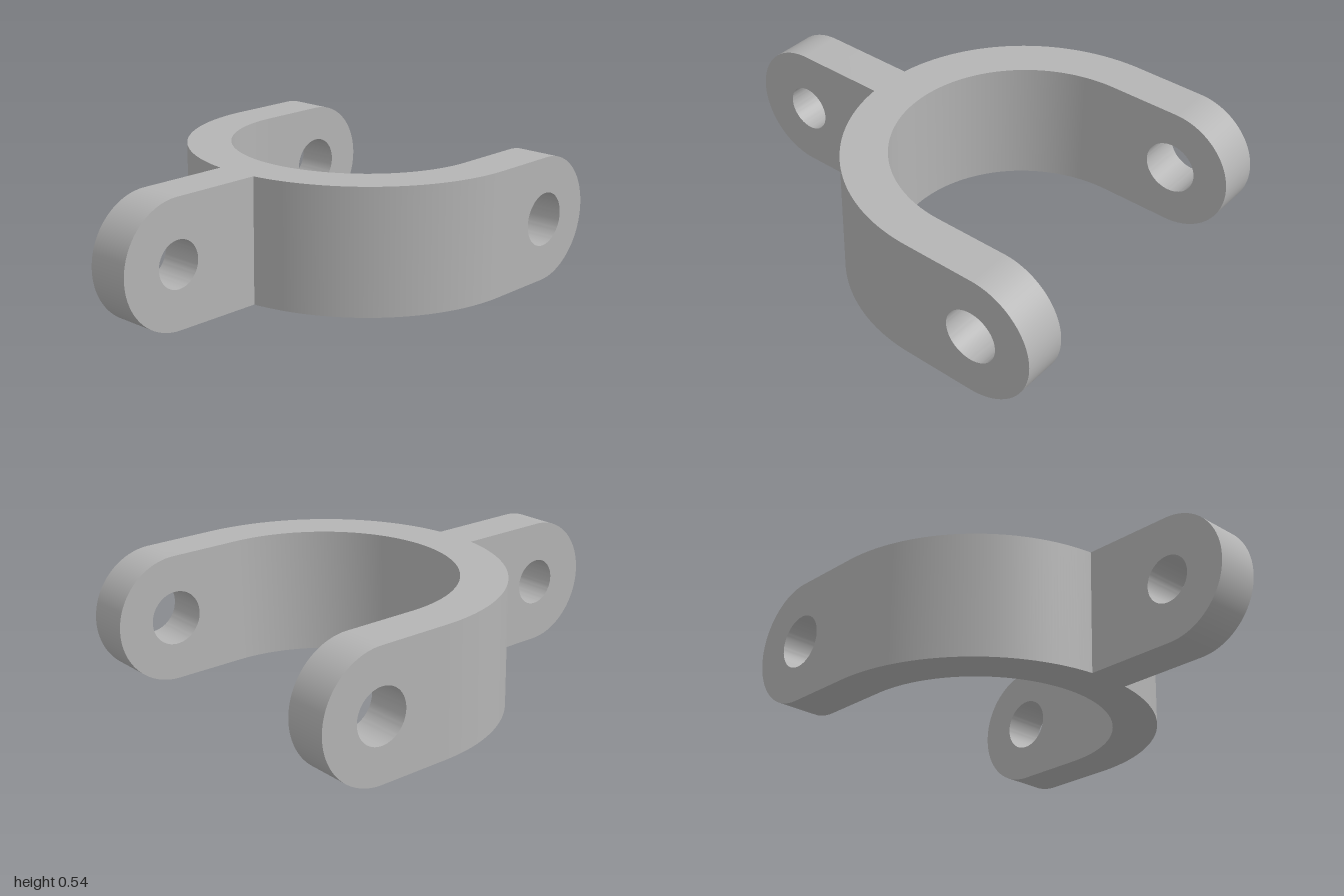
import * as THREE from 'three';
import { toCreasedNormals } from 'three/addons/utils/BufferGeometryUtils.js';

const H = 0.54;            // height of the whole bracket
const R = 0.755;           // outer radius of the yoke
const r = 0.565;           // inner radius of the yoke
const T = R - r;           // wall thickness
const CZ = -0.42;          // z of the yoke's centre

function extrude(shape, depth) {
  return new THREE.ExtrudeGeometry(shape, { depth, bevelEnabled: false, curveSegments: 40 });
}

// Flat lug with a rounded, drilled end; runs along +z (dir 1) or -z (dir -1)
function lugGeometry(start, end, holeAt, holeRadius, dir) {
  const h = H / 2;
  const shape = new THREE.Shape();
  shape.moveTo(start, 0);
  shape.lineTo(end - h, 0);
  shape.absarc(end - h, h, h, -Math.PI / 2, Math.PI / 2, false);
  shape.lineTo(start, H);
  shape.closePath();
  const hole = new THREE.Path();
  hole.absarc(holeAt, h, holeRadius, 0, Math.PI * 2, true);
  shape.holes.push(hole);
  const geometry = extrude(shape, T);
  geometry.translate(0, 0, -T / 2);
  geometry.rotateY(-dir * Math.PI / 2);
  return toCreasedNormals(geometry, 0.5);
}

// Half ring, with a flat on its outside where the front lug joins
function yokeGeometry() {
  const flat = Math.asin(T / 2 / R);
  const shape = new THREE.Shape();
  shape.moveTo(R, 0);
  shape.absarc(0, 0, R, 0, Math.PI / 2 - flat, false);
  shape.absarc(0, 0, R, Math.PI / 2 + flat, Math.PI, false);
  shape.lineTo(-r, 0);
  shape.absarc(0, 0, r, Math.PI, 0, true);
  shape.closePath();
  const geometry = extrude(shape, H);
  geometry.rotateX(Math.PI / 2);
  geometry.translate(0, H, CZ);
  return toCreasedNormals(geometry, 0.5);
}

export function createModel() {
  const model = new THREE.Group();
  model.name = 'yokeBracket';
  const steel = new THREE.MeshStandardMaterial({ color: 0xb4b4b4 });
  steel.name = 'steel grey';

  const add = (name, geometry, x = 0) => {
    const mesh = new THREE.Mesh(geometry, steel);
    mesh.name = name;
    mesh.position.x = x;
    model.add(mesh);
  };

  add('yoke', yokeGeometry());

  // Front lug meets the flat on the yoke
  const root = CZ + Math.sqrt(R * R - T * T / 4);
  add('frontLug', lugGeometry(root, 1, 0.73, 0.1, 1));

  // Pair of rear arms
  const arm = lugGeometry(-CZ, 1, 0.73, 0.115, -1);
  add('leftArm', arm, (R + r) / 2);
  add('rightArm', arm, -(R + r) / 2);

  return model;
}
